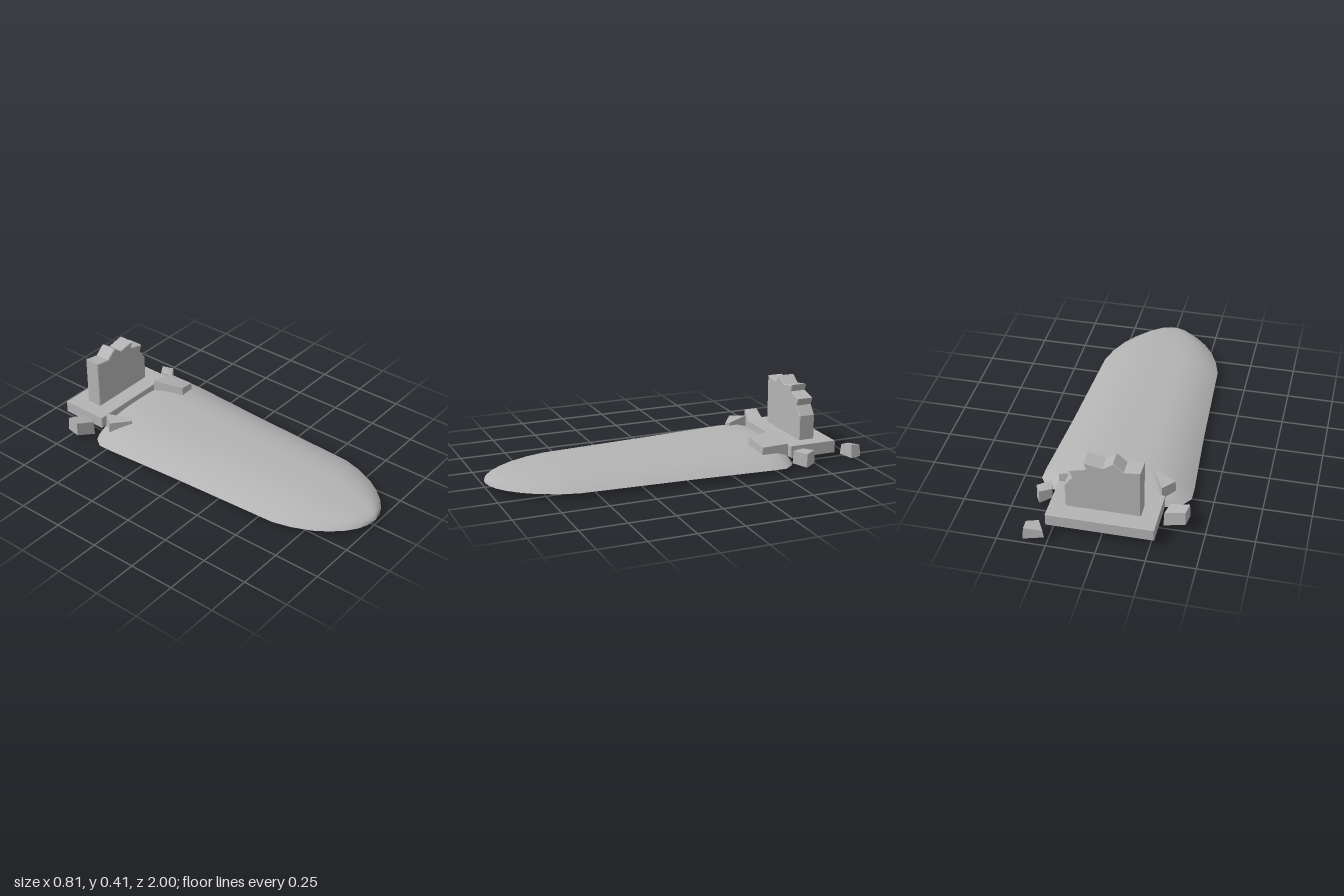
import * as THREE from 'three';
import { ConvexGeometry } from 'three/addons/geometries/ConvexGeometry.js';

export function createModel() {
  const root = new THREE.Group();
  const stone = new THREE.MeshStandardMaterial({ color: 0xb4b4b4 });
  stone.name = 'grey stone';
  stone.side = THREE.DoubleSide;

  const add = (name, geometry) => {
    const mesh = new THREE.Mesh(geometry, stone);
    mesh.name = name;
    root.add(mesh);
    return mesh;
  };

  // Mound: open shell lofted along z from [z, half width, height]
  const sections = [
    [-0.62, 0.27, 0.035], [-0.605, 0.315, 0.058], [-0.58, 0.36, 0.074], [-0.53, 0.395, 0.085],
    [-0.45, 0.394, 0.089], [-0.2, 0.377, 0.084], [0, 0.364, 0.079], [0.3, 0.349, 0.072],
    [0.6, 0.334, 0.066], [0.7, 0.307, 0.062], [0.8, 0.262, 0.055], [0.87, 0.214, 0.048],
    [0.93, 0.158, 0.039], [0.97, 0.103, 0.03], [0.99, 0.055, 0.02], [1, 0.004, 0.004],
  ];
  const across = 32;
  const positions = [];
  const indices = [];
  sections.forEach(([z, w, h], i) => {
    for (let j = 0; j <= across; j++) {
      const u = -1 + (2 * j) / across;
      positions.push(0.005 + u * w, 0.025 + h * (1 - Math.abs(u) ** 3), z);
      if (i && j) {
        const b = i * (across + 1) + j;
        const a = b - across - 1;
        indices.push(a - 1, b - 1, a, b - 1, b, a);
      }
    }
  });
  const mound = new THREE.BufferGeometry();
  mound.setAttribute('position', new THREE.Float32BufferAttribute(positions, 3));
  mound.setIndex(indices);
  mound.computeVertexNormals();
  add('mound', mound);

  // Extruded slab with a narrow bevel, kept inside the given outline
  const slab = (name, points, depth, bevel) => {
    const shape = new THREE.Shape(points.map(([x, y]) => new THREE.Vector2(x, y)));
    const geometry = new THREE.ExtrudeGeometry(shape, {
      depth: depth - 2 * bevel, bevelThickness: bevel, bevelSize: bevel,
      bevelOffset: -bevel, bevelSegments: 1,
    });
    geometry.translate(0, 0, bevel);
    return add(name, geometry);
  };

  // Plinth
  slab('plinth', [[-0.27, 0.035], [0.28, 0.035], [0.28, 0.102], [-0.27, 0.102]], 0.27, 0.003)
    .position.z = -0.89;

  // Broken headstone
  slab('brokenHeadstone', [
    [-0.185, 0.095], [0.2, 0.095], [0.2, 0.237], [0.16, 0.288], [0.177, 0.328], [0.09, 0.35],
    [0.1, 0.388], [0.005, 0.37], [-0.047, 0.407], [-0.1, 0.362], [-0.185, 0.374],
  ], 0.09, 0.004).position.z = -0.8;

  // Rubble: hull of a footprint and its shrunken top, each with corner heights
  const rock = (name, footprint, low, high, taper = 0.88) => {
    const cx = footprint.reduce((s, p) => s + p[0], 0) / 4;
    const cz = footprint.reduce((s, p) => s + p[1], 0) / 4;
    const points = footprint.flatMap(([x, z], i) => [
      new THREE.Vector3(x, low[i], z),
      new THREE.Vector3(cx + (x - cx) * taper, high[i], cz + (z - cz) * taper),
    ]);
    add(name, new ConvexGeometry(points));
  };
  rock('rubbleSideRight', [[-0.4, -0.75], [-0.285, -0.735], [-0.3, -0.65], [-0.41, -0.675]],
    [0.045, 0.005, 0, 0.04], [0.118, 0.085, 0.08, 0.115], 0.95);
  rock('rubbleBack', [[0.26, -0.98], [0.365, -1], [0.365, -0.945], [0.3, -0.91]],
    [0.035, 0.025, 0.02, 0.03], [0.075, 0.09, 0.095, 0.085]);
  rock('rubbleSideLeft', [[0.3, -0.68], [0.36, -0.72], [0.39, -0.66], [0.32, -0.61]],
    [0.035, 0.02, 0.01, 0.02], [0.09, 0.092, 0.085, 0.09], 0.95);
  rock('rubbleMoundRight', [[-0.31, -0.53], [-0.25, -0.61], [-0.18, -0.47], [-0.2, -0.45]],
    [0.03, 0.015, 0.015, 0.02], [0.125, 0.13, 0.12, 0.118], 0.92);
  rock('rubbleMoundLeft', [[0.13, -0.59], [0.29, -0.6], [0.295, -0.44], [0.18, -0.41]],
    [0.05, 0.015, 0.012, 0.04], [0.157, 0.122, 0.12, 0.152], 0.95);
  rock('rubbleUnderLeft', [[0, -0.49], [0.08, -0.51], [0.09, -0.42], [0.01, -0.4]],
    [0.018, 0.02, 0.022, 0.015], [0.085, 0.08, 0.085, 0.08]);
  rock('rubbleUnderRight', [[-0.165, -0.53], [-0.1, -0.55], [-0.09, -0.47], [-0.155, -0.46]],
    [0.02, 0.022, 0.012, 0.01], [0.085, 0.08, 0.085, 0.08]);

  return root;
}
